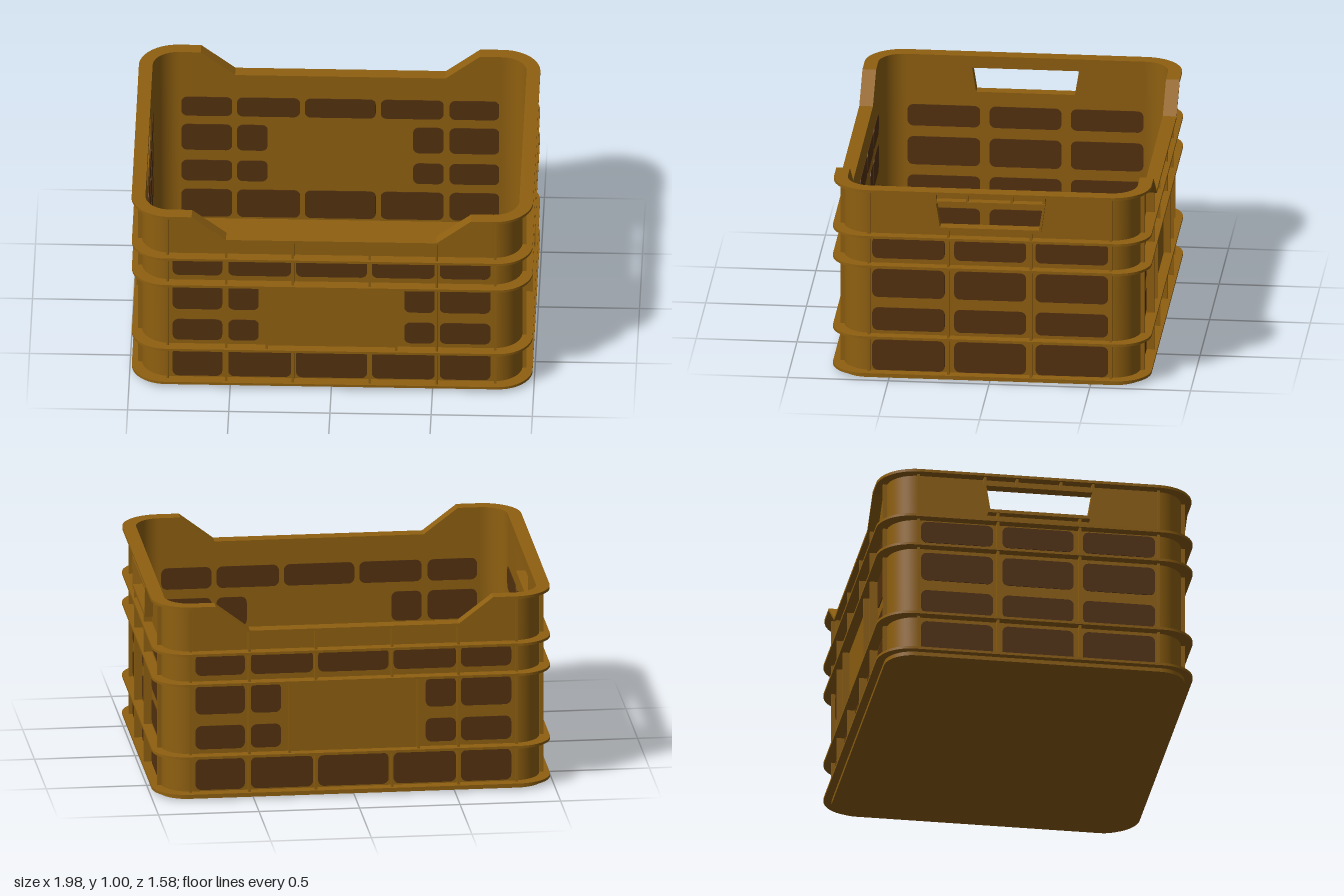
import * as THREE from 'three';
import { toCreasedNormals } from 'three/addons/utils/BufferGeometryUtils.js';

const W = 0.94, D = 0.735;      // wall outer half sizes
const LW = 0.99, LD = 0.79;     // ledge outer half sizes
const R = 0.14, T = 0.016;      // corner radius, wall thickness
const OUT = 0.052;              // how far ledges and ribs stand out

const plastic = new THREE.MeshStandardMaterial({ color: 0x8f6010, side: THREE.DoubleSide });
plastic.name = 'ochre plastic';
const dark = new THREE.MeshStandardMaterial({ color: 0x54320f, side: THREE.DoubleSide });
dark.name = 'dark brown';

function add(parent, name, geometry, material = plastic) {
  const mesh = new THREE.Mesh(geometry, material);
  mesh.name = name;
  parent.add(mesh);
  return mesh;
}

function extrude(shape, depth) {
  const g = new THREE.ExtrudeGeometry(shape, { depth, bevelEnabled: false, curveSegments: 8 });
  return toCreasedNormals(g, 0.6);
}

// Plan shape lifted to stand between y and y + h
function slab(shape, y, h) {
  return extrude(shape, h).rotateX(-Math.PI / 2).translate(0, y, 0);
}

function polygon(points) {
  return new THREE.Shape(points.map(([x, y]) => new THREE.Vector2(x, y)));
}

function roundRect(x0, y0, x1, y1, r) {
  const s = new THREE.Shape();
  s.absarc(x1 - r, y1 - r, r, 0, Math.PI / 2);
  s.absarc(x0 + r, y1 - r, r, Math.PI / 2, Math.PI);
  s.absarc(x0 + r, y0 + r, r, Math.PI, Math.PI * 1.5);
  s.absarc(x1 - r, y0 + r, r, Math.PI * 1.5, Math.PI * 2);
  s.closePath();
  return s;
}

// Quarter ring between two radii about a corner centre
function cornerShape(k, ro, ri) {
  const a = k * Math.PI / 2, b = a + Math.PI / 2;
  const cx = (W - R) * (k === 0 || k === 3 ? 1 : -1);
  const cy = (D - R) * (k < 2 ? 1 : -1);
  const s = new THREE.Shape();
  s.absarc(cx, cy, ro, a, b, false);
  s.absarc(cx, cy, ri, b, a, true);
  s.closePath();
  return s;
}

// Upright rib with its back on the wall, local z = 0 is the wall's outer face
function rib(side, u, y0, y1, out = 0.04) {
  add(side, 'verticalRib', new THREE.BoxGeometry(0.012, y1 - y0, out)
    .translate(u, (y0 + y1) / 2, out / 2));
}

// Dark vent, seen on both faces of the wall
function vent(side, u0, u1, y0, y1) {
  const shape = roundRect(u0, y0, u1, y1, 0.03);
  add(side, 'ventOutside', extrude(shape, 0.004), dark);
  add(side, 'ventInside', extrude(shape, 0.004).translate(0, 0, -T - 0.004), dark);
}

function makeLongSide(name) {
  const side = new THREE.Group();
  side.name = name;
  const e = W - R;
  // Wall with its dipped top edge
  const top = [[e, 1], [0.69, 1], [0.52, 0.87], [-0.52, 0.87], [-0.69, 1], [-e, 1]];
  add(side, 'wall', extrude(polygon([[-e, 0.02], [e, 0.02], ...top]), T).translate(0, 0, -T));
  // Ledge following the dipped edge
  const under = top.map(([x, y]) => [x, y - 0.014]).reverse();
  add(side, 'rim', extrude(polygon([...top, ...under]), OUT + T).translate(0, 0, -T));
  // Plain centre panel
  add(side, 'centrePanel', new THREE.BoxGeometry(0.64, 0.37, 0.008).translate(0, 0.408, 0.004));

  for (const s of [-1, 1]) {
    rib(side, s * 0.81, 0.03, 0.99, 0.02);
    rib(side, s * 0.52, 0.03, 0.86);
    rib(side, s * 0.32, 0.22, 0.595);
    rib(side, s * 0.19, 0.595, 0.86);
    rib(side, s * 0.19, 0.03, 0.22);
  }
  for (const [y0, y1] of [[0.63, 0.74], [0.04, 0.2]]) {
    for (const [a, b] of [[-0.785, -0.54], [-0.51, -0.2], [-0.175, 0.175], [0.2, 0.51], [0.535, 0.785]]) {
      vent(side, a, b, y0, y1);
    }
  }
  for (const [y0, y1] of [[0.43, 0.58], [0.25, 0.37]]) {
    for (const [a, b] of [[-0.785, -0.54], [-0.51, -0.36], [0.36, 0.51], [0.535, 0.785]]) {
      vent(side, a, b, y0, y1);
    }
  }
  return side;
}

function makeShortSide(name) {
  const side = new THREE.Group();
  side.name = name;
  const e = D - R;
  const hole = () => polygon([[-0.245, 0.812], [0.245, 0.812], [0.265, 0.938], [-0.265, 0.938]]);
  // Wall with its hand hole
  const wall = polygon([[-e, 0.02], [e, 0.02], [e, 1], [-e, 1]]);
  wall.holes.push(hole());
  add(side, 'wall', extrude(wall, T).translate(0, 0, -T));
  // Raised lip around the hand hole
  const lip = polygon([[-0.255, 0.795], [0.255, 0.795], [0.277, 0.95], [-0.277, 0.95]]);
  lip.holes.push(hole());
  add(side, 'handleLip', extrude(lip, 0.042));
  add(side, 'rim', new THREE.BoxGeometry(2 * e, 0.014, OUT + T).translate(0, 0.993, (OUT - T) / 2));

  for (const s of [-1, 1]) {
    rib(side, s * 0.6, 0.03, 0.99, 0.02);
    rib(side, s * 0.205, 0.03, 0.795);
    rib(side, s * 0.11, 0.945, 0.99);
    rib(side, s * 0.27, 0.945, 0.99);
  }
  for (const [y0, y1] of [[0.625, 0.737], [0.42, 0.568], [0.245, 0.365], [0.035, 0.195]]) {
    for (const [a, b] of [[-0.585, -0.225], [-0.178, 0.178], [0.225, 0.585]]) {
      vent(side, a, b, y0, y1);
    }
  }
  return side;
}

export function createModel() {
  const crate = new THREE.Group();
  crate.name = 'crate';

  // Four sides
  for (const s of [1, -1]) {
    const long = makeLongSide(s > 0 ? 'frontSide' : 'backSide');
    long.rotation.y = s > 0 ? 0 : Math.PI;
    long.position.z = s * D;
    const short = makeShortSide(s > 0 ? 'leftSide' : 'rightSide');
    short.rotation.y = s * Math.PI / 2;
    short.position.x = s * W;
    crate.add(long, short);
  }

  // Rounded corner posts with their piece of the rim
  for (let k = 0; k < 4; k++) {
    add(crate, 'cornerPost', slab(cornerShape(k, R, R - T), 0.02, 0.98));
    add(crate, 'cornerRim', slab(cornerShape(k, R + OUT, R - T), 0.986, 0.014));
  }

  // Ledges running all the way round
  for (const y of [0.02, 0.214, 0.588, 0.744]) {
    const ring = roundRect(-LW, -LD, LW, LD, R + 0.03);
    ring.holes.push(roundRect(-W + 0.005, -D + 0.005, W - 0.005, D - 0.005, R));
    add(crate, 'ledge', slab(ring, y, 0.013));
  }

  // Floor
  add(crate, 'floor', slab(roundRect(-0.955, -0.75, 0.955, 0.75, R), 0, 0.028));
  return crate;
}
